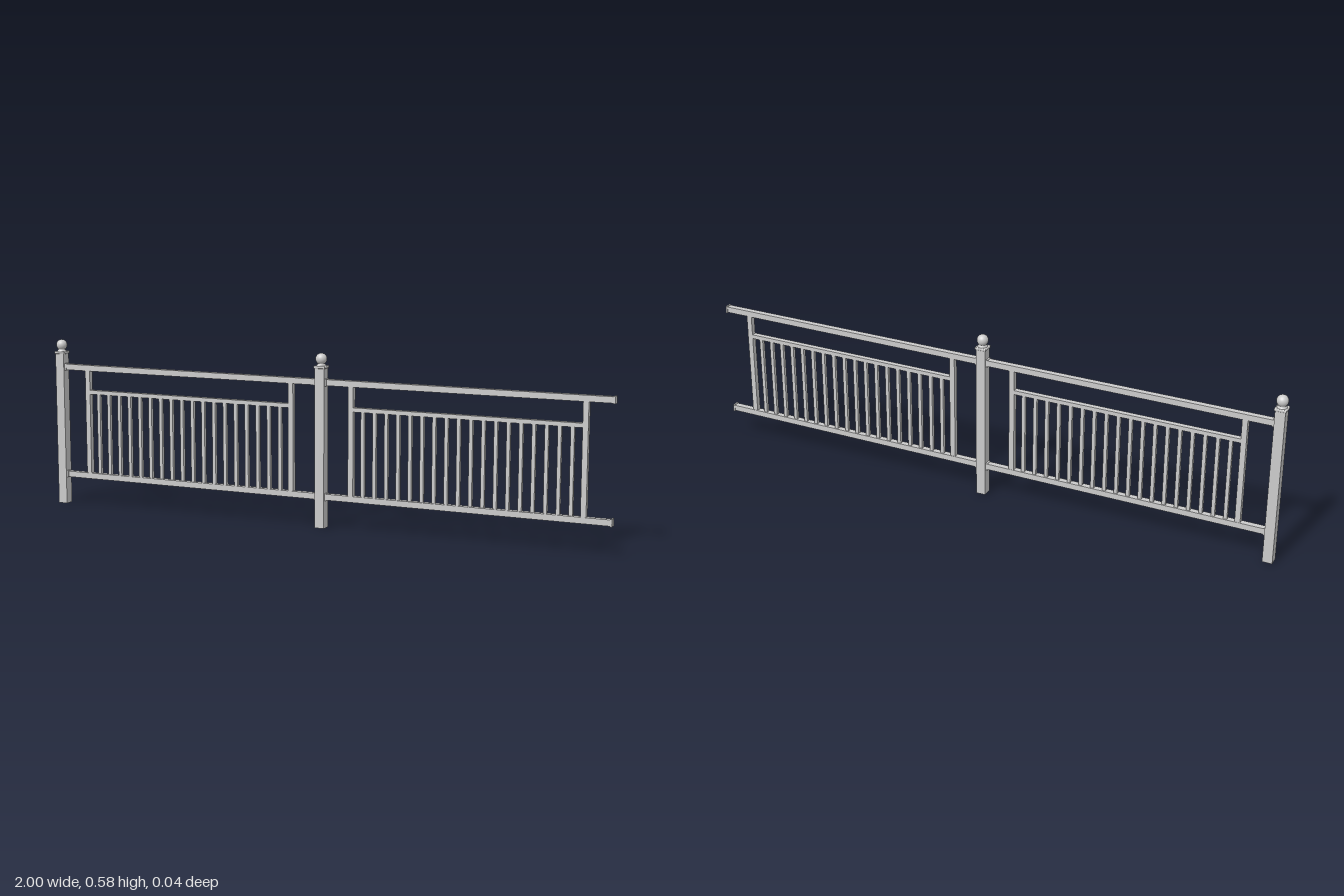
import * as THREE from 'three';
import { RoundedBoxGeometry } from 'three/addons/geometries/RoundedBoxGeometry.js';

const material = new THREE.MeshStandardMaterial({ color: 0xcccccc });

function add(parent, name, geometry, x, y, z = 0) {
  const mesh = new THREE.Mesh(geometry, material);
  mesh.name = name;
  mesh.position.set(x, y, z);
  parent.add(mesh);
  return mesh;
}
const box = (w, h, d) => new THREE.BoxGeometry(w, h, d);

const PITCH = 0.998;      // post centre to post centre
const POST = 0.033;       // post width
const RAIL_Y = [0.105, 0.485];

// Square post with moulded cap, neck and ball finial
function makePost() {
  const post = new THREE.Group();
  post.name = 'post';
  add(post, 'postShaft', box(POST, 0.53, POST), 0, 0.265);
  add(post, 'postCap', new RoundedBoxGeometry(0.04, 0.009, 0.04, 3, 0.003), 0, 0.5345);
  const neck = [[0.0165, 0.538], [0.0155, 0.541], [0.013, 0.543], [0.0125, 0.546], [0.014, 0.549]]
    .map(([r, y]) => new THREE.Vector2(r, y));
  add(post, 'finialNeck', new THREE.LatheGeometry(neck, 32), 0, 0);
  add(post, 'finialBall', new THREE.SphereGeometry(0.019, 32, 20), 0, 0.561);
  return post;
}

// Railing panel, centred between two posts
function makePanel() {
  const panel = new THREE.Group();
  panel.name = 'railingPanel';
  const length = PITCH - POST;
  const half = 0.391;     // stile offset from the panel centre

  // Long rails with a socket at each end
  for (const y of RAIL_Y) {
    add(panel, 'rail', box(length - 0.002, 0.02, 0.02), 0, y);
    for (const s of [-1, 1])
      add(panel, 'railSocket', box(0.006, 0.024, 0.024), s * (length / 2 - 0.003), y);
  }

  // Stiles and inner rail
  for (const s of [-1, 1]) add(panel, 'stile', box(0.018, 0.36, 0.018), s * half, 0.295);
  add(panel, 'innerRail', box(2 * half - 0.018, 0.014, 0.018), 0, 0.401);

  // Balusters
  const count = 18;
  const step = (2 * half) / (count + 1);
  for (let i = 1; i <= count; i++)
    add(panel, 'baluster', box(0.012, 0.279, 0.012), -half + i * step, 0.2545);
  return panel;
}

export function createModel() {
  const model = new THREE.Group();
  model.name = 'fence';
  for (let i = 0; i < 2; i++) {
    const x = -0.98 + i * PITCH;
    const post = makePost();
    post.position.x = x;
    const panel = makePanel();
    panel.position.x = x + PITCH / 2;
    model.add(post, panel);
  }
  return model;
}
